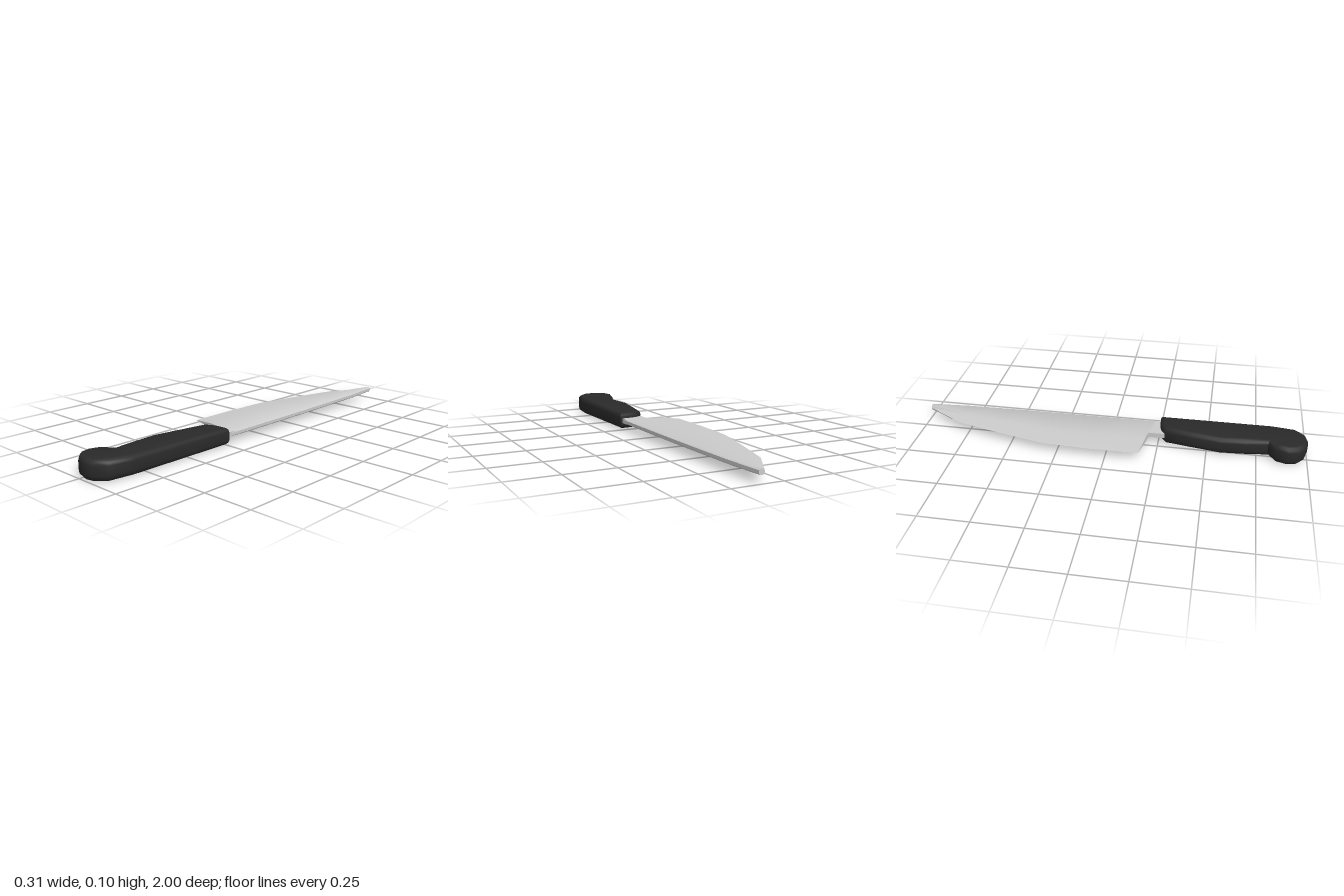
import * as THREE from 'three';
import { toCreasedNormals } from 'three/addons/utils/BufferGeometryUtils.js';

const MID = 0.052; // height of the knife's middle plane
const HALF = 0.0125; // half thickness of the blade

// Blade lofted from wedge-shaped sections, heel to tip
function bladeGeometry() {
  // z, cutting edge x, end of the grind x, spine x
  const sections = [
    [0.17, -0.156, -0.035, 0.146],
    [-0.08, -0.158, -0.04, 0.145],
    [-0.32, -0.147, -0.03, 0.144],
    [-0.56, -0.09, 0.005, 0.141],
    [-0.8, -0.025, 0.045, 0.136],
    [-1.0, 0.093, 0.1, 0.122],
  ];
  const pos = [], index = [], n = 7;
  sections.forEach(([z, edge, grind, spine], i) => {
    const ring = [
      [edge, 0], [grind, HALF], [spine - 0.006, HALF], [spine, HALF * 0.6],
      [spine, -HALF * 0.6], [spine - 0.006, -HALF], [grind, -HALF],
    ];
    // the heel is cut at a slant
    for (const [x, y] of ring) pos.push(x, MID + y, i ? z : z + (x - edge) * 0.17);
  });
  for (let i = 0; i < sections.length - 1; i++) {
    for (let j = 0; j < n; j++) {
      const a = i * n + j, b = i * n + (j + 1) % n;
      index.push(a, b, a + n, b, b + n, a + n);
    }
  }
  const tip = (sections.length - 1) * n;
  for (let j = 1; j < n - 1; j++) index.push(0, j + 1, j, tip, tip + j, tip + j + 1);
  const geo = new THREE.BufferGeometry();
  geo.setAttribute('position', new THREE.Float32BufferAttribute(pos, 3));
  geo.setIndex(index);
  return toCreasedNormals(geo, 0.7);
}

// Handle outline extruded with rounded rims, thicker towards the butt
function handleGeometry() {
  const outline = [
    [0.155, 0.25], [0.08, 0.255], [0.05, 0.265], [0.02, 0.285], [-0.005, 0.42],
    [-0.03, 0.57], [-0.022, 0.69], [-0.005, 0.805], [-0.055, 0.84], [-0.072, 0.9],
    [-0.06, 0.95], [-0.02, 0.985], [0.035, 1.0], [0.085, 0.99], [0.132, 0.94], [0.152, 0.82],
  ];
  const bevel = 0.024, thickness = 0.088;
  const geo = new THREE.ExtrudeGeometry(
    new THREE.Shape(outline.map(([x, z]) => new THREE.Vector2(x, z))),
    {
      depth: thickness - 2 * bevel, bevelThickness: bevel, bevelSize: bevel,
      bevelOffset: -bevel, bevelSegments: 3,
    },
  );
  geo.translate(0, 0, -(thickness / 2 - bevel));
  geo.rotateX(Math.PI / 2);
  const p = geo.attributes.position;
  for (let i = 0; i < p.count; i++) {
    const swell = 1 + 0.13 * THREE.MathUtils.smoothstep(p.getZ(i), 0.7, 0.92);
    p.setY(i, 0.0515 + p.getY(i) * swell);
  }
  return toCreasedNormals(geo, 0.9);
}

export function createModel() {
  const group = new THREE.Group();
  group.name = 'kitchenKnife';
  const steel = new THREE.MeshStandardMaterial({ color: 0xcccccc });
  const black = new THREE.MeshStandardMaterial({ color: 0x2a2a2a });
  const add = (name, geo, mat) => {
    const mesh = new THREE.Mesh(geo, mat);
    mesh.name = name;
    group.add(mesh);
    return mesh;
  };

  add('blade', bladeGeometry(), steel);
  // Neck joining the blade to the handle
  add('neck', new THREE.BoxGeometry(0.122, HALF * 1.98, 0.13), steel).position.set(0.083, MID, 0.262);
  add('handle', handleGeometry(), black);
  return group;
}
